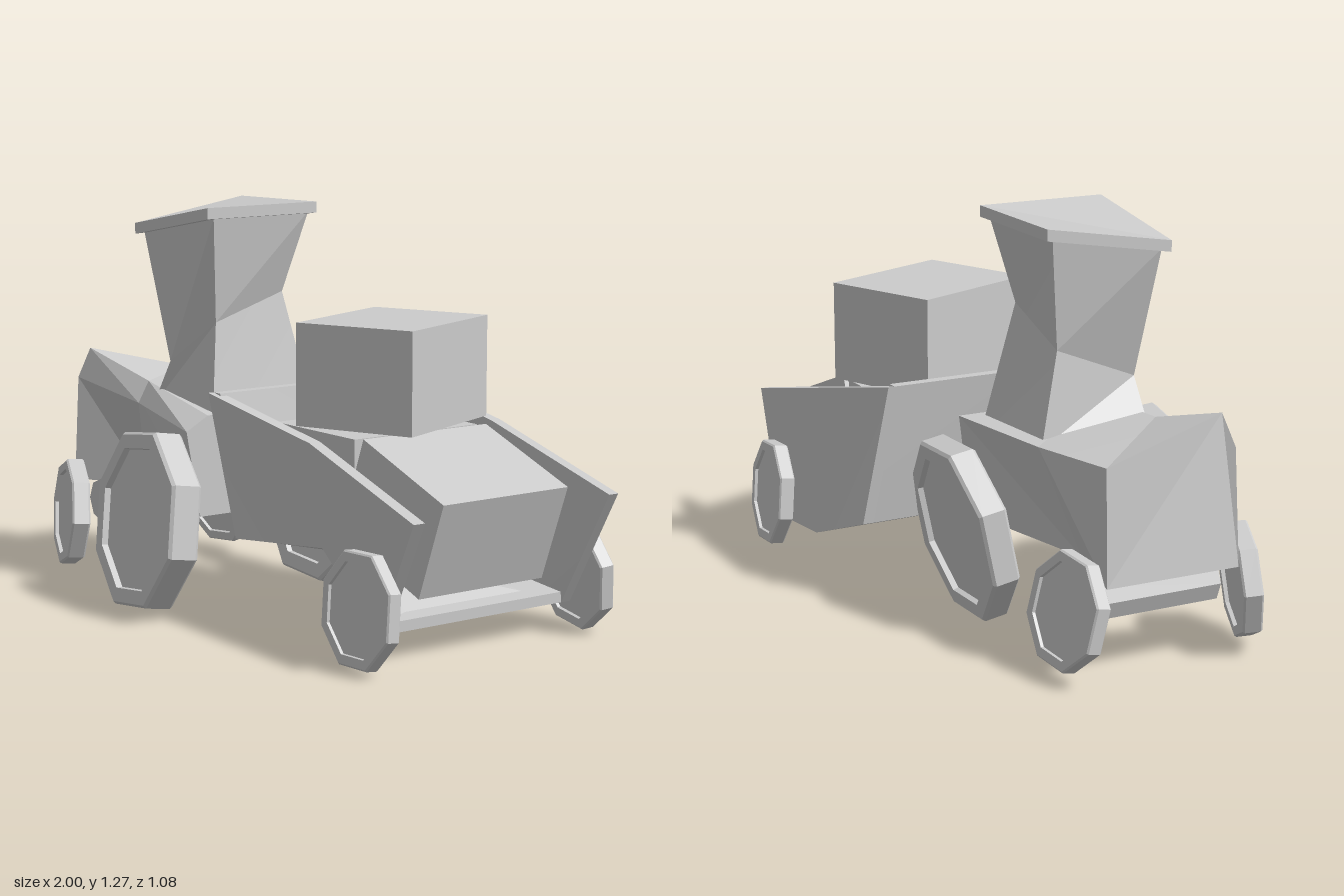
import * as THREE from 'three';
import { toCreasedNormals } from 'three/addons/utils/BufferGeometryUtils.js';

const mat = new THREE.MeshStandardMaterial({ color: 0xcccccc, side: THREE.DoubleSide });
const flat = new THREE.MeshStandardMaterial({ color: 0xcccccc, side: THREE.DoubleSide, flatShading: true });
const V = (x, y, z) => new THREE.Vector3(x, y, z);

// Skin a list of closed rings, cap both ends and make the faces point outwards
function loft(rings, crease = 0.1) {
  const n = rings[0].length, tris = [];
  for (let i = 0; i + 1 < rings.length; i++) {
    for (let j = 0; j < n; j++) {
      const k = (j + 1) % n, a = rings[i], b = rings[i + 1];
      tris.push([a[j], a[k], b[k]], [a[j], b[k], b[j]]);
    }
  }
  const first = rings[0], last = rings[rings.length - 1];
  for (let j = 1; j + 1 < n; j++) {
    tris.push([first[0], first[j + 1], first[j]], [last[0], last[j], last[j + 1]]);
  }
  let volume = 0;
  for (const [a, b, c] of tris) volume += V(...a).dot(V(...b).cross(V(...c)));
  const pos = tris.flatMap(([a, b, c]) => (volume > 0 ? [a, b, c] : [a, c, b])).flat();
  const geo = new THREE.BufferGeometry();
  geo.setAttribute('position', new THREE.Float32BufferAttribute(pos, 3));
  geo.computeVertexNormals();
  return toCreasedNormals(geo, crease);
}

// Eight-sided wheel with a straight tread and a recessed disc on both faces
function wheel(r, t) {
  const half = [[0, 0.3], [0.8, 0.3], [0.81, 0.5], [0.97, 0.5], [1, 0.4]];
  const profile = [
    ...half.map(([x, y]) => new THREE.Vector2(x * r, -y * t)),
    ...half.slice().reverse().map(([x, y]) => new THREE.Vector2(x * r, y * t)),
  ];
  return new THREE.LatheGeometry(profile, 8, Math.PI / 8);
}

export function createModel() {
  const model = new THREE.Group();
  const add = (name, geo, parent = model, material = mat) => {
    const mesh = new THREE.Mesh(geo, material);
    mesh.name = name;
    parent.add(mesh);
    return mesh;
  };

  // Tractor hood and chassis, front at -x, pinched in low down at the middle
  const tractor = new THREE.Group();
  tractor.name = 'tractor';
  model.add(tractor);
  add('tractorBody', loft([
    [[-0.88, 0.75, 0.24], [-0.91, 0.65, 0.27], [-0.94, 0.295, 0.27], [-0.935, 0.295, -0.17], [-0.925, 0.65, -0.17]],
    [[-0.58, 0.67, 0.2], [-0.58, 0.6, 0.24], [-0.72, 0.295, 0.12], [-0.65, 0.295, -0.09], [-0.58, 0.63, -0.2]],
    [[-0.13, 0.62, 0.27], [-0.13, 0.575, 0.35], [-0.13, 0.3, 0.3], [-0.13, 0.3, -0.19], [-0.13, 0.62, -0.23]],
  ]), tractor);

  // Cab: pinched at a slanting waist, flared towards the roof
  add('cab', loft([
    [[-0.52, 0.6, 0.22], [-0.16, 0.6, 0.23], [-0.16, 0.6, -0.16], [-0.52, 0.6, -0.155]],
    [[-0.41, 0.757, 0.225], [-0.2, 0.9, 0.19], [-0.225, 0.98, -0.085], [-0.485, 0.885, -0.085]],
    [[-0.535, 1.17, 0.24], [-0.15, 1.235, 0.23], [-0.15, 1.24, -0.135], [-0.535, 1.24, -0.13]],
  ]), tractor);

  const roof = (dy) => [
    [-0.55, 1.195 + dy, 0.265], [-0.14, 1.268 + dy, 0.26], [-0.14, 1.27 + dy, -0.16], [-0.55, 1.265 + dy, -0.155],
  ];
  add('roof', loft([roof(-0.035), roof(0)]), tractor);

  // Front axle
  const axle = add('frontAxle', new THREE.CylinderGeometry(0.075, 0.075, 0.44, 8), tractor, flat);
  axle.rotation.x = Math.PI / 2;
  axle.position.set(-0.82, 0.235, 0.02);

  // Crooked wheels: name, radius, thickness, centre, outward direction
  const wheels = [
    ['rearWheelLeft', 0.295, 0.1, [-0.222, 0.293, 0.44], [-0.14, 0.14, 1]],
    ['rearWheelRight', 0.292, 0.09, [-0.225, 0.293, -0.262], [0.05, -0.19, -1]],
    ['frontWheelLeft', 0.18, 0.06, [-0.825, 0.21, 0.355], [-0.37, 0.08, 1]],
    ['frontWheelRight', 0.178, 0.05, [-0.82, 0.205, -0.232], [-0.08, 0.2, -1]],
    ['trailerWheelLeft', 0.18, 0.045, [0.755, 0.18, 0.345], [-0.05, 0.09, 1]],
    ['trailerWheelRight', 0.179, 0.05, [0.742, 0.18, -0.492], [0.12, 0.1, -1]],
  ];
  for (const [name, r, t, centre, dir] of wheels) {
    const mesh = add(name, wheel(r, t), model, flat);
    mesh.position.set(...centre);
    mesh.quaternion.setFromUnitVectors(V(0, 1, 0), V(...dir).normalize());
  }

  // Trailer: per station, top and bottom corner of each side
  const trailer = new THREE.Group();
  trailer.name = 'trailer';
  model.add(trailer);
  const left = [
    [[-0.03, 0.71, 0.335], [0.05, 0.26, 0.29]],
    [[0.42, 0.61, 0.28], [0.43, 0.29, 0.24]],
    [[1, 0.47, 0.35], [0.75, 0.092, 0.28]],
  ];
  const right = [
    [[-0.03, 0.71, -0.42], [0.04, 0.26, -0.48]],
    [[0.42, 0.61, -0.46], [0.43, 0.12, -0.47]],
    [[1, 0.47, -0.42], [0.75, 0.092, -0.465]],
  ];
  const move = ([x, y, z], dx, dy, dz) => [x + dx, y + dy, z + dz];
  for (const [name, side, dz] of [['trailerSideLeft', left, -0.04], ['trailerSideRight', right, 0.035]]) {
    add(name, loft(side.map(([top, low]) => [top, low, move(low, 0, 0, dz), move(top, 0, 0, dz)]), 0.6), trailer);
  }
  add('trailerFloor', loft(left.map(([, low], i) => {
    const a = move(low, 0, 0, -0.01), b = move(right[i][1], 0, 0, 0.01);
    return [a, b, move(b, 0, 0.033, 0), move(a, 0, 0.033, 0)];
  })), trailer);
  const front = [
    move(left[0][0], 0, 0, -0.02), move(right[0][0], 0, 0, 0.02),
    move(right[0][1], 0, 0, 0.02), move(left[0][1], 0, 0, -0.02),
  ];
  add('trailerFront', loft([front, front.map((p) => move(p, 0.035, 0, 0))]), trailer);

  // Load: three equal boxes, one flat, one tipping out, one on top
  const boxes = [
    ['flatBox', [0.26, 0.455, -0.095], 0, 0],
    ['tippedBox', [0.635, 0.402, -0.095], 0, -0.355],
    ['topBox', [0.34, 0.788, -0.095], 0.388, 0],
  ];
  for (const [name, centre, ry, rz] of boxes) {
    const box = add(name, new THREE.BoxGeometry(0.4, 0.315, 0.475), trailer);
    box.position.set(...centre);
    box.rotation.set(0, ry, rz);
  }
  return model;
}
